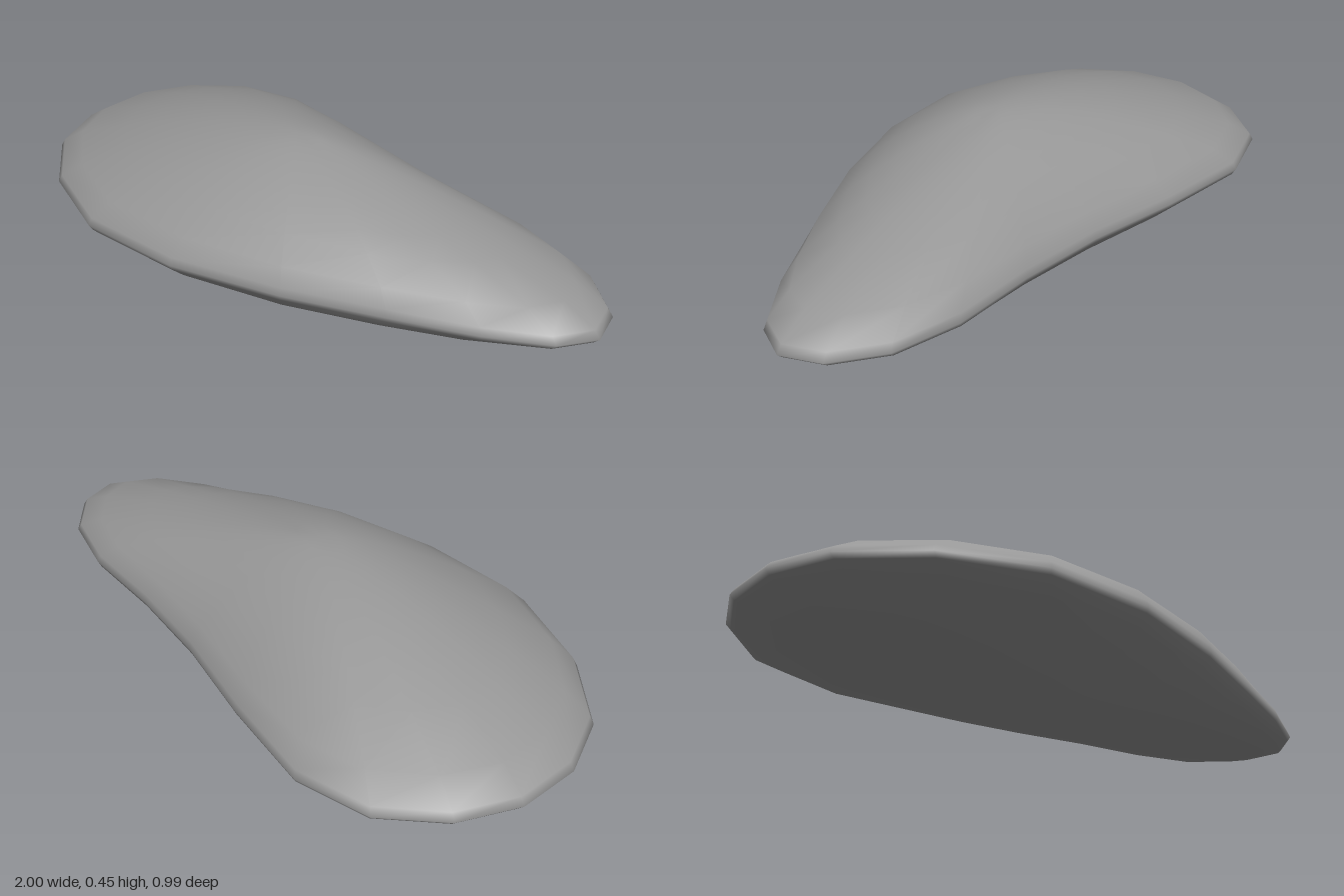
import * as THREE from 'three';

// Plan outline of the rim: x, z
const OUTLINE = [
  [-1, -0.08], [-0.95, -0.26], [-0.82, -0.42], [-0.6, -0.5], [-0.28, -0.485],
  [0.03, -0.45], [0.32, -0.445], [0.6, -0.463], [0.81, -0.43], [0.95, -0.34],
  [1, -0.23], [0.95, -0.12], [0.8, 0], [0.58, 0.135], [0.32, 0.29],
  [0, 0.435], [-0.34, 0.493], [-0.64, 0.42], [-0.86, 0.28], [-0.97, 0.11],
];
// Dome profile: ring scale, height above the rim
const DOME = [
  [0, 0.267], [0.1, 0.264], [0.2, 0.254], [0.32, 0.235], [0.45, 0.208],
  [0.58, 0.174], [0.71, 0.136], [0.9, 0.073], [0.985, 0.023],
];
const RIM_Y = 0.18, BELLY = 0.674, CENTRE_Z = -0.04;
const OVAL_X = 1, OVAL_Z = 0.49;

// One point of a ring: the outline eases into an oval towards the crown
function ringPoint([x, z], s, h) {
  const centreX = -0.06 + 0.04 * (1 - s);
  const dx = x + 0.06, dz = z - CENTRE_Z;
  const length = Math.hypot(dx / OVAL_X, dz / OVAL_Z);
  const px = THREE.MathUtils.lerp(dx / length, dx, s);
  const pz = THREE.MathUtils.lerp(dz / length, dz, s);
  // The narrow end slopes down a little straighter than the broad end
  const taper = 1 - 0.12 * Math.sin(Math.PI * s) * Math.max(0, dx / OVAL_X / length) ** 2;
  return [centreX + px * s, RIM_Y + h * taper, CENTRE_Z + pz * s];
}

function pebbleGeometry() {
  // Rings run from the bottom pole, out to the rim and up to the top pole
  const rings = [
    ...DOME.map(([s, h]) => [s, -h * BELLY]),
    [1, 0],
    ...DOME.map(([s, h]) => [s, h]).reverse(),
  ];
  const n = OUTLINE.length, last = rings.length - 1;
  const positions = [], index = [];
  rings.forEach(([s, h], r) => {
    const points = r === 0 || r === last ? [OUTLINE[0]] : OUTLINE;
    for (const point of points) positions.push(...ringPoint(point, s, h));
  });
  const id = (r, i) => (r === 0 ? 0 : r === last ? 1 + (last - 1) * n : 1 + (r - 1) * n + (i % n));
  for (let r = 0; r < last; r++) {
    for (let i = 0; i < n; i++) {
      const a = id(r, i), b = id(r, i + 1), c = id(r + 1, i), d = id(r + 1, i + 1);
      if (a !== b) index.push(b, a, c);
      if (c !== d) index.push(b, c, d);
    }
  }
  const geometry = new THREE.BufferGeometry();
  geometry.setAttribute('position', new THREE.Float32BufferAttribute(positions, 3));
  geometry.setIndex(index);
  geometry.computeVertexNormals();
  return geometry;
}

export function createModel() {
  const group = new THREE.Group();
  group.name = 'pebble';
  const body = new THREE.Mesh(pebbleGeometry(), new THREE.MeshStandardMaterial({ color: 0x979797 }));
  body.name = 'pebbleBody';
  group.add(body);
  return group;
}
